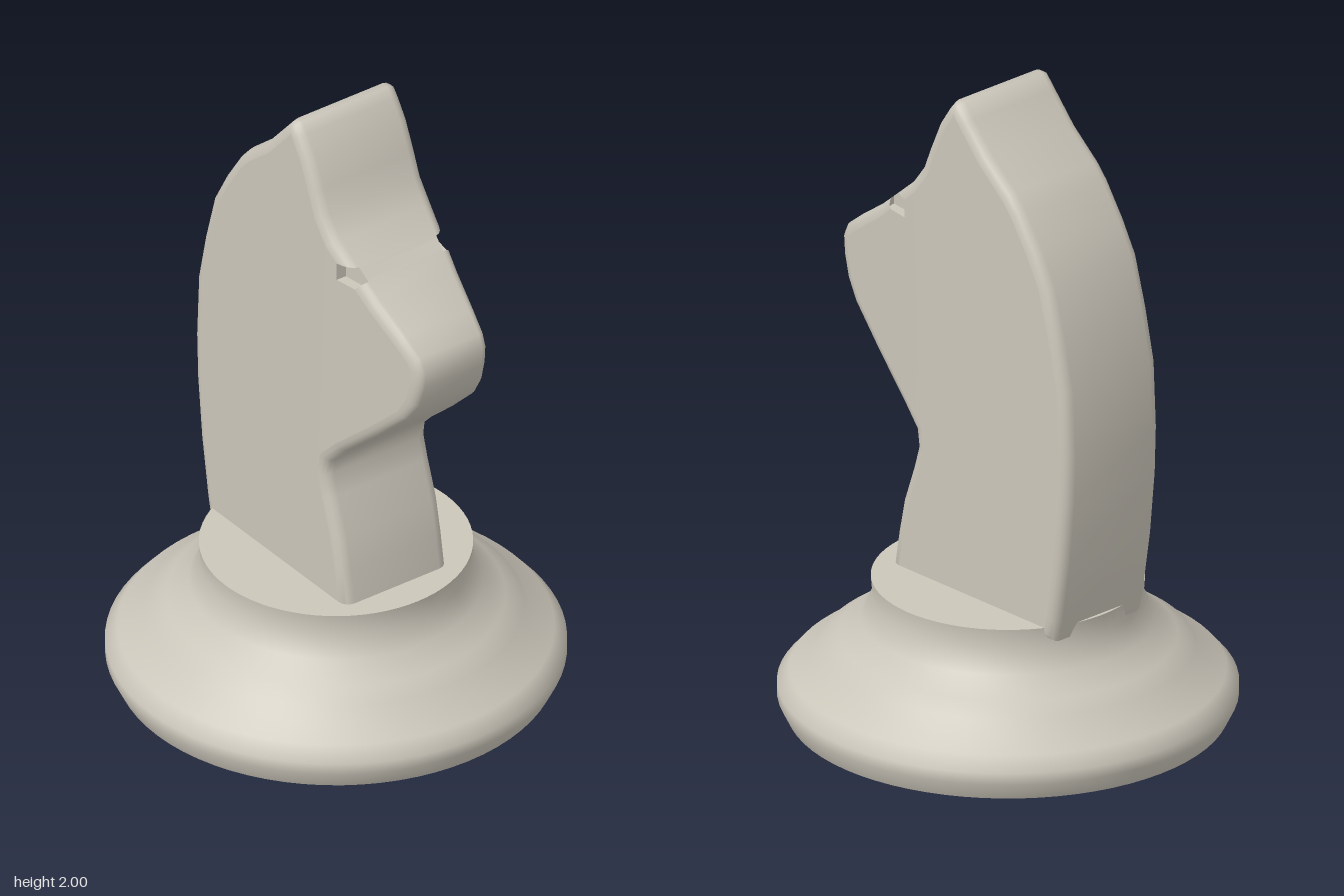
import * as THREE from 'three';
import { toCreasedNormals } from 'three/addons/utils/BufferGeometryUtils.js';

const HALF = 0.19, BEVEL = 0.035;
const vec = ([a, b]) => new THREE.Vector2(a, b);

// Side outline of the head as (z, y), from the chest up over the nose and down the mane
const THROAT = 5, NOTCH = 15, BROW = 17;
const outline = [
  [0.31, 0.39], [0.285, 0.54], [0.262, 0.65], [0.22, 0.77], [0.2, 0.84], [0.207, 0.89],
  [0.27, 0.955], [0.4, 1.07], [0.52, 1.185], [0.56, 1.25], [0.58, 1.32], [0.585, 1.38],
  [0.565, 1.42], [0.5, 1.47], [0.4, 1.54], [0.345, 1.585], [0.305, 1.618], [0.23, 1.68],
  [0.18, 1.745], [0.15, 1.82], [0.11, 1.91], [0.07, 1.97], [0.045, 2], [0.02, 2],
  [-0.02, 1.955], [-0.1, 1.865], [-0.2, 1.78], [-0.24, 1.735], [-0.31, 1.63], [-0.365, 1.53],
  [-0.41, 1.37], [-0.445, 1.21], [-0.455, 1], [-0.45, 0.85], [-0.43, 0.65], [-0.4, 0.46],
  [-0.385, 0.39],
].map(vec);

// Moves every outline point inwards by d
function insetOutline(pts, d) {
  const n = pts.length;
  const normal = (a, b) => new THREE.Vector2(a.y - b.y, b.x - a.x).normalize();
  return pts.map((p, i) => {
    const n1 = normal(pts[(i + n - 1) % n], p), n2 = normal(p, pts[(i + 1) % n]);
    return n1.clone().add(n2).multiplyScalar(d / (1 + n1.dot(n2))).add(p);
  });
}

// The muzzle narrows towards the nose
function place(x, p) {
  const taper = p.y > 0.86 ? 1 - 0.88 * Math.max(0, p.x - 0.21) : 1;
  return [x * taper, p.y, p.x];
}

function headGeometries() {
  const inner = insetOutline(outline, BEVEL);
  const open = outline.slice(), closed = outline.slice();

  // Eye notches cut into the bevelled brow edge
  const a = outline[NOTCH], b = outline[NOTCH + 1];
  inner[NOTCH] = vec([0.323, 1.56]);
  inner[NOTCH + 1] = vec([0.25, 1.618]);
  closed.splice(NOTCH + 1, 0, ...[0.25, 0.5, 0.75].map(t => a.clone().lerp(b, t)));
  open.splice(NOTCH + 1, 0, ...[[0.345, 1.56], [0.25, 1.56], [0.25, 1.618]].map(vec));
  inner.splice(NOTCH + 1, 0, ...[[0.323, 1.56], [0.25, 1.56], [0.25, 1.618]].map(vec));

  // Layers across the thickness: full outline, notch floor, then the rounded edge
  const half = [[HALF - BEVEL, closed]];
  for (let k = 0; k <= 4; k++) {
    const t = k * Math.PI / 8;
    half.push([HALF - BEVEL + BEVEL * Math.sin(t),
      open.map((p, i) => p.clone().lerp(inner[i], 1 - Math.cos(t)))]);
  }
  const layers = [...half.map(([x, p]) => [-x, p]).reverse(), ...half];
  const n = inner.length;
  const positions = layers.flatMap(([x, pts]) => pts.flatMap(p => place(x, p)));
  const shell = [];
  for (let i = 0; i < layers.length - 1; i++) {
    for (let j = 0; j < n; j++) {
      const p = i * n + j, q = i * n + (j + 1) % n;
      shell.push(p, q + n, q, p, p + n, q + n);
    }
  }

  // Flat sides, split where the muzzle starts to narrow
  const sides = [], last = (layers.length - 1) * n, brow = BROW + 3;
  const all = inner.map((_, i) => i);
  const muzzle = all.slice(THROAT, brow + 1);
  const neck = [...all.slice(0, THROAT + 1), ...all.slice(brow)];
  for (const part of [muzzle, neck]) {
    for (const f of THREE.ShapeUtils.triangulateShape(part.map(i => inner[i]), [])) {
      const [u, v, w] = f.map(i => part[i]);
      sides.push(u, v, w, last + u, last + w, last + v);
    }
  }

  const build = (index, crease) => {
    const g = new THREE.BufferGeometry();
    g.setAttribute('position', new THREE.Float32BufferAttribute(positions, 3));
    g.setIndex(index);
    return toCreasedNormals(g, crease);
  };
  return [build(shell, 0.9), build(sides, 0.1)];
}

export function createModel() {
  const stone = new THREE.MeshStandardMaterial({ color: 0xcbc6ba });
  stone.name = 'warm grey';
  const model = new THREE.Group();
  model.name = 'chessKnight';
  const add = (parent, name, geometry) => {
    const mesh = new THREE.Mesh(geometry, stone);
    mesh.name = name;
    parent.add(mesh);
  };

  // Turned base
  const profile = [
    [0, 0], [0.655, 0], [0.682, 0.055], [0.682, 0.092], [0.645, 0.135], [0.58, 0.167],
    [0.553, 0.21], [0.5, 0.245], [0.435, 0.3], [0.4, 0.37], [0.405, 0.433], [0, 0.433],
  ].map(vec);
  add(model, 'base', toCreasedNormals(new THREE.LatheGeometry(profile, 72), 0.9));

  // Horse head
  const head = new THREE.Group();
  head.name = 'horseHead';
  const [shell, sides] = headGeometries();
  add(head, 'headEdge', shell);
  add(head, 'headSides', sides);
  model.add(head);
  return model;
}
